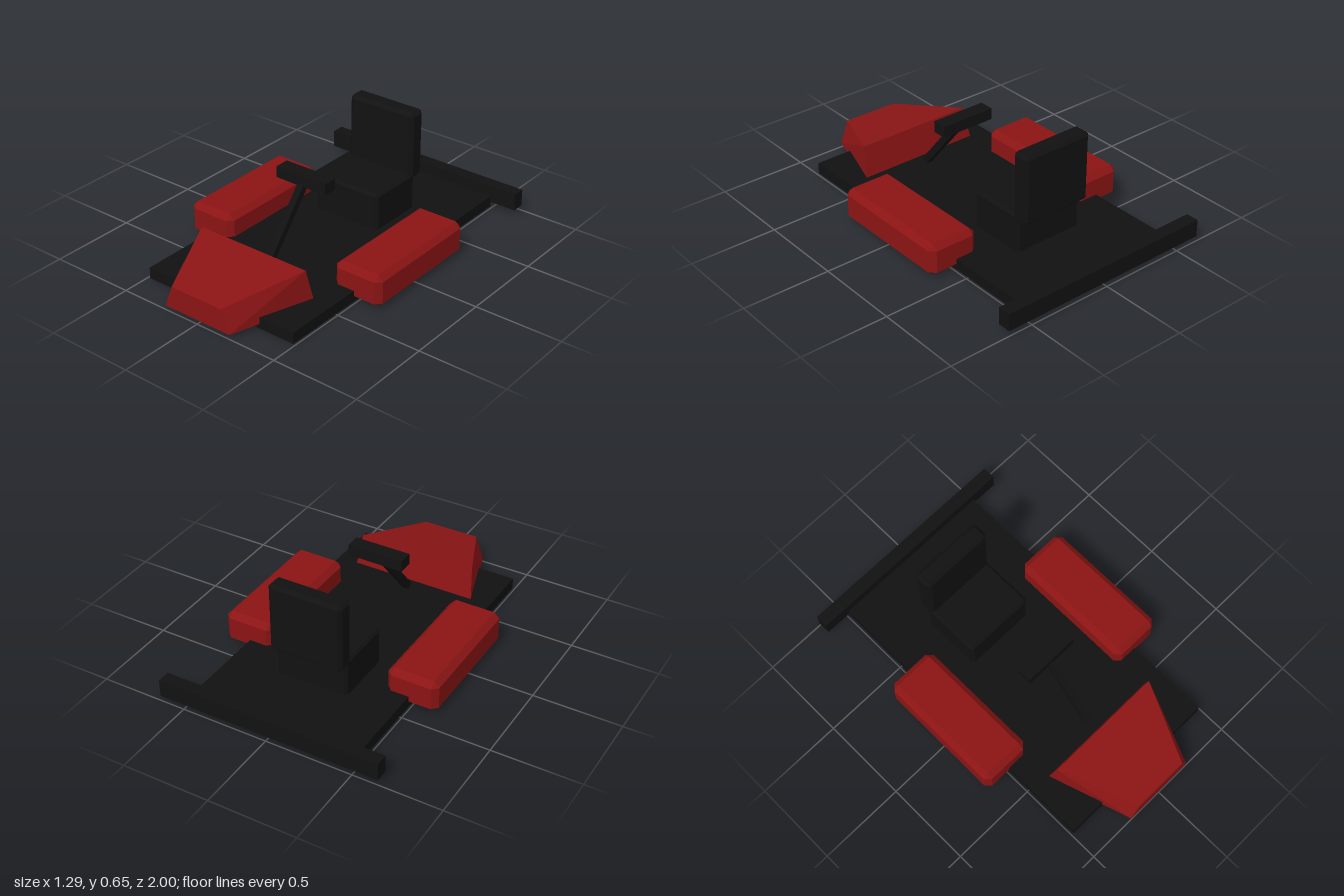
import * as THREE from 'three';
import { ConvexGeometry } from 'three/addons/geometries/ConvexGeometry.js';

const red = new THREE.MeshStandardMaterial({ color: 0x8b1414, flatShading: true });
const black = new THREE.MeshStandardMaterial({ color: 0x111111, flatShading: true });

export function createModel() {
  const kart = new THREE.Group();
  kart.name = 'kart';

  const add = (name, geometry, material) => {
    const mesh = new THREE.Mesh(geometry, material);
    mesh.name = name;
    kart.add(mesh);
    return mesh;
  };

  // Plain box given by its limits on each axis
  const box = (name, [x0, x1], [y0, y1], [z0, z1], material) => {
    const mesh = add(name, new THREE.BoxGeometry(x1 - x0, y1 - y0, z1 - z0), material);
    mesh.position.set((x0 + x1) / 2, (y0 + y1) / 2, (z0 + z1) / 2);
    return mesh;
  };

  // Box with chamfered edges: three hull points at every corner
  const chamferBox = (name, xs, ys, zs, c, material, bottom = c) => {
    const points = [];
    for (const i of [0, 1]) for (const j of [0, 1]) for (const k of [0, 1]) {
      const x = xs[i], y = ys[j], z = zs[k];
      const dx = i ? -c : c, dy = j ? -c : bottom, dz = k ? -c : c;
      points.push(
        new THREE.Vector3(x, y + dy, z + dz),
        new THREE.Vector3(x + dx, y, z + dz),
        new THREE.Vector3(x + dx, y + dy, z)
      );
    }
    return add(name, new ConvexGeometry(points), material);
  };

  // Floor pan and rear bumper
  box('floorPan', [-0.486, 0.486], [0, 0.065], [-0.93, 0.835], black);
  box('rearBumper', [-0.645, 0.645], [0.03, 0.13], [-1, -0.925], black);

  // Side pods
  chamferBox('leftSidePod', [0.35, 0.645], [0.015, 0.195], [-0.405, 0.35], 0.032, red, 0.02);
  chamferBox('rightSidePod', [-0.645, -0.35], [0.015, 0.195], [-0.405, 0.35], 0.032, red, 0.02);

  // Seat
  chamferBox('seatBase', [-0.21, 0.21], [0.04, 0.28], [-0.56, -0.212], 0.016, black);
  chamferBox('seatBack', [-0.215, 0.215], [0.245, 0.65], [-0.62, -0.515], 0.02, black);

  // Steering column, leaning back from the floor, and its handle
  const foot = new THREE.Vector3(0, 0.075, 0.462);
  const head = new THREE.Vector3(0, 0.46, 0.145);
  const column = add('steeringColumn',
    new THREE.BoxGeometry(0.04, foot.distanceTo(head), 0.04), black);
  column.position.copy(foot).add(head).multiplyScalar(0.5);
  column.rotation.x = Math.atan2(head.z - foot.z, head.y - foot.y);
  box('steeringHandle', [-0.163, 0.163], [0.435, 0.5], [0.095, 0.18], black);

  // Tapered nose: half-width, height and depth of each mirrored corner pair
  const corners = [
    [0.165, 0.155, 1], [0.215, 0.025, 1],
    [0.35, 0.24, 0.57], [0.372, 0.03, 0.525],
  ];
  add('nose', new ConvexGeometry(corners.flatMap(([x, y, z]) =>
    [new THREE.Vector3(x, y, z), new THREE.Vector3(-x, y, z)])), red);

  return kart;
}
